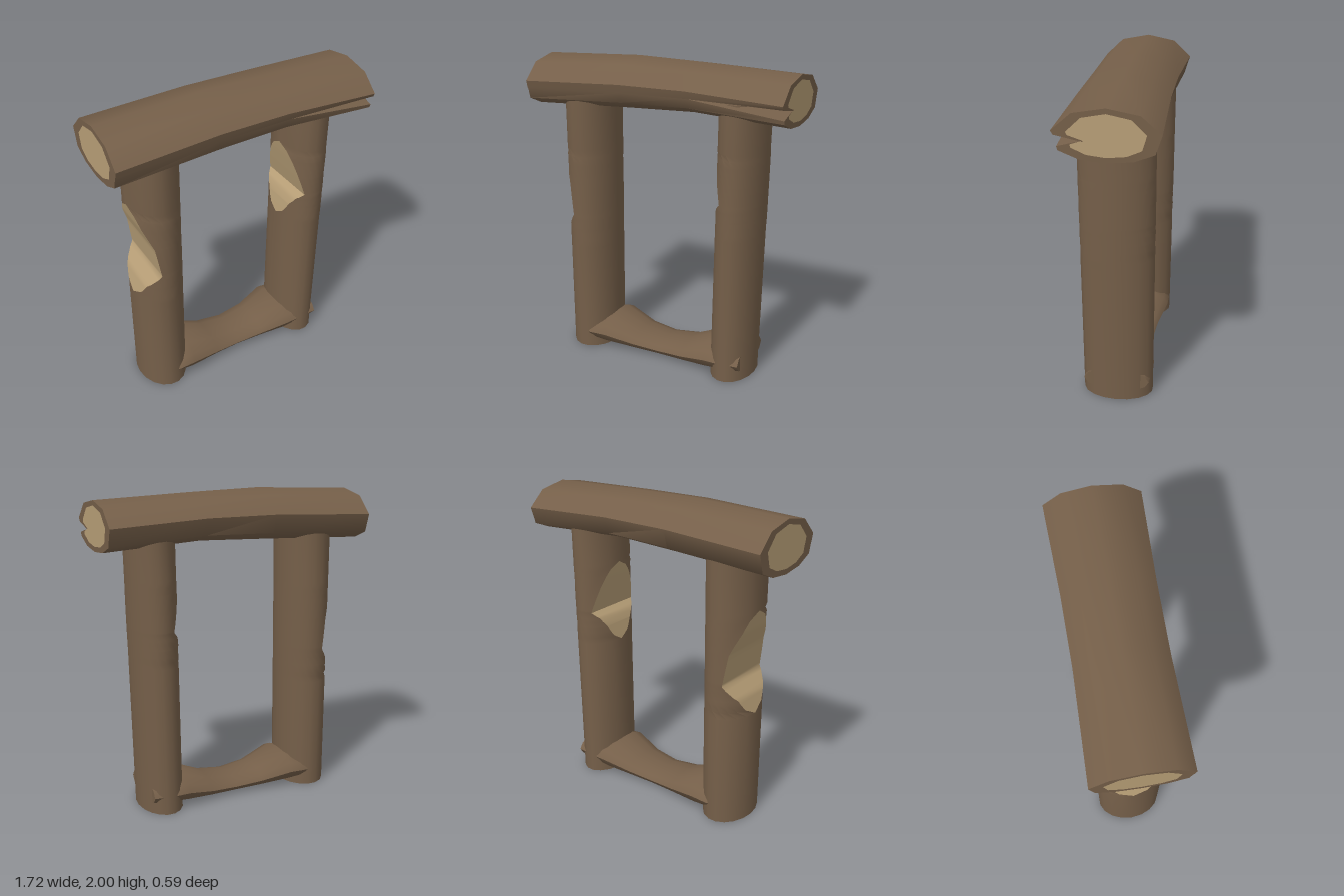
import * as THREE from 'three';
import { toCreasedNormals } from 'three/addons/utils/BufferGeometryUtils.js';

const bark = new THREE.MeshStandardMaterial({ color: 0x755f49 });
bark.name = 'bark brown';
const wood = new THREE.MeshStandardMaterial({ color: 0xb89f77 });
wood.name = 'cut wood tan';

// Skin between successive rings of points; closed rings wrap around.
function loft(rings, closed = true) {
  const pos = [];
  const n = rings[0].length;
  const tri = (a, b, c) => {
    const area = b.clone().sub(a).cross(c.clone().sub(a)).length();
    if (area > 1e-8) for (const p of [a, b, c]) pos.push(p.x, p.y, p.z);
  };
  for (let i = 0; i < rings.length - 1; i++) {
    for (let j = 0; j < (closed ? n : n - 1); j++) {
      const k = (j + 1) % n;
      tri(rings[i][j], rings[i + 1][j], rings[i + 1][k]);
      tri(rings[i][j], rings[i + 1][k], rings[i][k]);
    }
  }
  const g = new THREE.BufferGeometry();
  g.setAttribute('position', new THREE.Float32BufferAttribute(pos, 3));
  return toCreasedNormals(g, 0.9);
}

function part(name, geometry, material) {
  const m = new THREE.Mesh(geometry, material);
  m.name = name;
  return m;
}

const V = (x, y, z) => new THREE.Vector3(x, y, z);
const pointRing = (ring, p) => ring.map(() => p.clone());

// Linear lookup in a list of [key, value] pairs
function lerpAt(table, t) {
  if (t <= table[0][0]) return table[0][1];
  for (let i = 1; i < table.length; i++) {
    const [a, va] = table[i - 1], [b, vb] = table[i];
    if (t <= b) return va + (vb - va) * (t - a) / (b - a);
  }
  return table[table.length - 1][1];
}

// Oval post with a chopped notch on its -x side; cut lists [height, x of the cut face]
function post(name, xMin, xMax, rz, cut) {
  const ys = [0, ...cut.map(c => c[0]), 1.8];
  const rings = [], faces = [];
  ys.forEach((y, i) => {
    const t = y / 1.8;
    const x0 = THREE.MathUtils.lerp(...xMin, t), x1 = THREE.MathUtils.lerp(...xMax, t);
    const rx = (x1 - x0) / 2, cx = (x0 + x1) / 2, r = THREE.MathUtils.lerp(...rz, t);
    let limit = Math.PI;
    if (i > 0 && i < ys.length - 1) {
      limit = Math.acos(THREE.MathUtils.clamp((cut[i - 1][1] - cx) / rx, -1, 1));
    }
    const ring = [];
    for (let j = 0; j <= 18; j++) {
      const a = -limit + (2 * limit * j) / 18;
      ring.push(V(cx + rx * Math.cos(a), y, r * Math.sin(a)));
    }
    rings.push(ring);
    faces.push([ring[18], ring[0]]);
  });
  const last = rings[rings.length - 1];
  const mid = ring => V((ring[9].x + ring[0].x) / 2, ring[0].y, 0);
  const all = [pointRing(rings[0], mid(rings[0])), ...rings, pointRing(last, mid(last))];
  const g = new THREE.Group();
  g.name = name;
  g.add(part('postBark', loft(all, false), bark));
  g.add(part('postNotch', loft(faces, false), wood));
  return g;
}

// Top log: faceted oval with a split opening towards the +x end
function beam() {
  const outline = [
    [0, 1], [-0.62, 0.78], [-1, 0.12], [-0.88, -0.6], [-0.5, -0.9], [0, -1],
    [0.5, -0.9], [0.88, -0.6],
  ];
  const stations = [
    // x, bottom, top, half depth, split opening
    [-0.86, 1.65, 1.97, 0.29, 0],
    [-0.2, 1.68, 2.0, 0.272, 0],
    [0.25, 1.7, 1.99, 0.275, 0],
    [0.86, 1.67, 1.97, 0.295, 1],
  ];
  const section = ([x, lo, hi, d, open], s = 1) => {
    const cy = (lo + hi) / 2, h = (hi - lo) / 2;
    const lips = [
      [0.94 - 0.04 * open, -0.2 - 0.25 * open],
      [0.95 - (s === 1 ? 0.53 : 0.37) * open, -0.2 - 0.05 * open],
      [0.96, -0.15 + 0.12 * open],
    ];
    const pts = [...outline, ...lips, [1, 0.12], [0.62, 0.78]];
    return pts.map(([z, y]) => V(x, cy + y * h * (s === 1 ? 1 : 0.8), z * d * s));
  };
  const first = stations[0], last = stations[3];
  const centre = s => V(s[0], (s[1] + s[2]) / 2, 0);
  const innerA = section(first, 0.73), innerB = section(last, 0.73);
  const g = new THREE.Group();
  g.name = 'topBeam';
  // bark with the rim around each end
  g.add(part('beamBark', loft([innerA, ...stations.map(s => section(s)), innerB]), bark));
  // sawn end faces
  g.add(part('beamEndRight', loft([pointRing(innerA, centre(first)), innerA]), wood));
  g.add(part('beamEndLeft', loft([innerB, pointRing(innerB, centre(last))]), wood));
  return g;
}

// Bottom rail: waisted log with flared ends let into the posts
function rail() {
  const stations = [
    // x, bottom, top, half depth
    [-0.6, 0.06, 0.16, 0.15],
    [-0.5, 0.03, 0.19, 0.215],
    [-0.38, 0.01, 0.22, 0.215],
    [-0.18, 0.005, 0.14, 0.17],
    [0, 0.005, 0.115, 0.155],
    [0.18, 0.005, 0.14, 0.17],
    [0.36, 0.01, 0.215, 0.21],
    [0.46, 0.02, 0.2, 0.205],
    [0.6, 0.04, 0.2, 0.205],
  ];
  const rings = stations.map(([x, lo, hi, d]) => {
    const ring = [];
    for (let j = 0; j < 12; j++) {
      const a = (j / 12) * Math.PI * 2;
      ring.push(V(x, (lo + hi) / 2 + Math.cos(a) * (hi - lo) / 2, -Math.sin(a) * d));
    }
    return ring;
  });
  const n = rings.length - 1;
  return part('bottomRail', loft([
    pointRing(rings[0], V(-0.6, 0.11, 0)), ...rings, pointRing(rings[n], V(0.6, 0.12, 0)),
  ]), bark);
}

// Finer steps through a notch profile
function notch(table, steps = 14) {
  const lo = table[0][0], hi = table[table.length - 1][0];
  const keys = new Set(table.map(p => p[0]));
  for (let i = 1; i < steps; i++) keys.add(lo + ((hi - lo) * i) / steps);
  return [...keys].sort((a, b) => a - b).map(y => [y, lerpAt(table, y)]);
}

export function createModel() {
  const model = new THREE.Group();
  model.name = 'logFrame';
  model.add(beam(), rail());
  model.add(post('rightPost', [-0.7, -0.7], [-0.385, -0.375], [0.215, 0.23], notch([
    [0.73, -0.7], [0.85, -0.665], [0.95, -0.59], [1.15, -0.62], [1.28, -0.67], [1.4, -0.7],
  ])));
  model.add(post('leftPost', [0.355, 0.38], [0.638, 0.675], [0.22, 0.23], notch([
    [0.96, 0.368], [1.08, 0.39], [1.14, 0.413], [1.18, 0.45], [1.3, 0.42], [1.42, 0.392], [1.5, 0.375],
  ])));
  return model;
}
